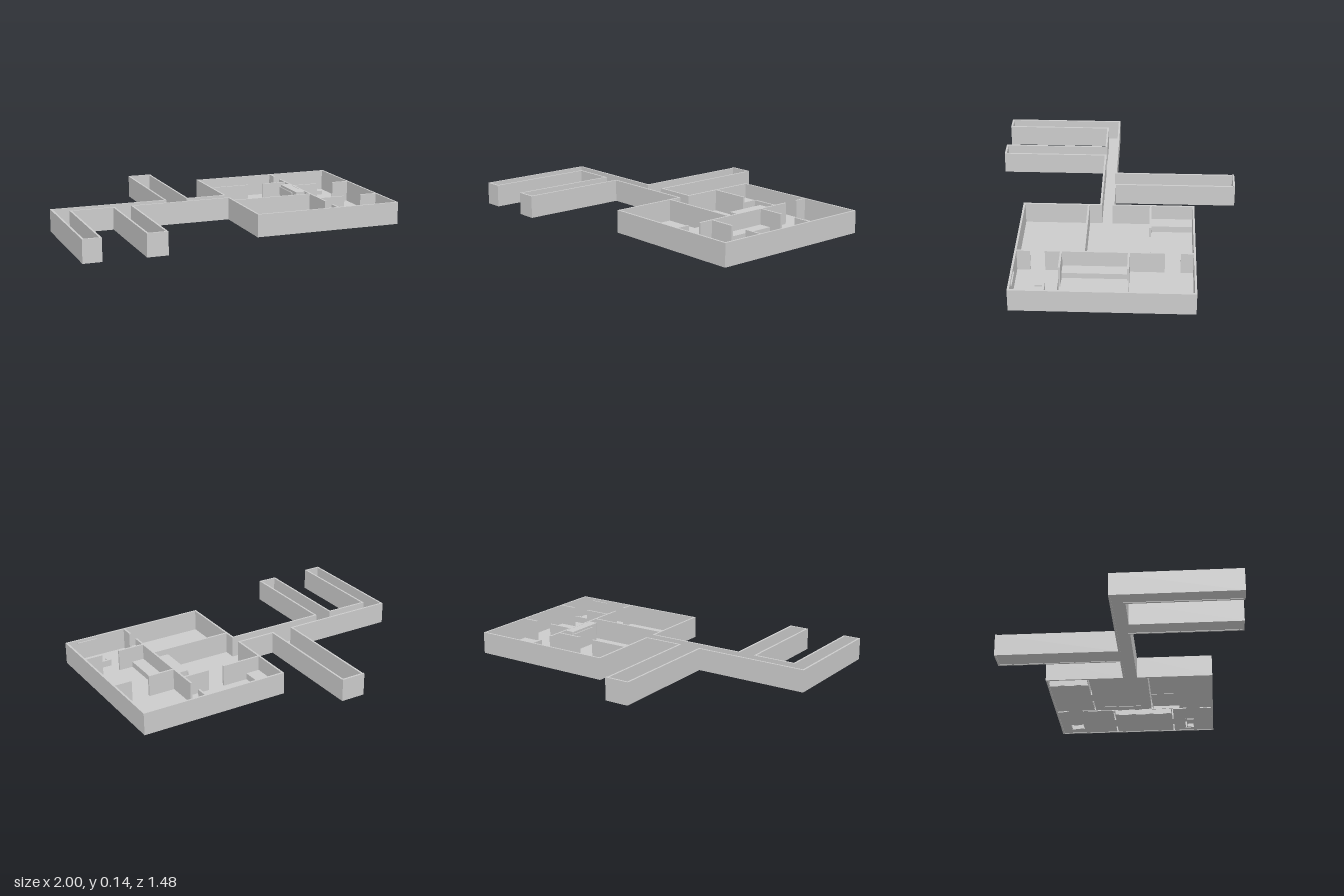
import * as THREE from 'three';

const H = 0.135, T = 0.012, FLOOR = 0.006;

export function createModel() {
  const group = new THREE.Group();
  const material = new THREE.MeshStandardMaterial({
    color: 0xcccccc, flatShading: true, side: THREE.DoubleSide,
  });

  const add = (name, geometry) => {
    const mesh = new THREE.Mesh(geometry, material);
    mesh.name = name;
    group.add(mesh);
    return mesh;
  };
  // Box given by its limits on each axis
  const block = (name, x0, x1, z0, z1, y0, y1) => {
    const mesh = add(name, new THREE.BoxGeometry(x1 - x0, y1 - y0, z1 - z0));
    mesh.position.set((x0 + x1) / 2, (y0 + y1) / 2, (z0 + z1) / 2);
    return mesh;
  };
  // Plan shape (x, z) raised to a height
  const raise = (shape, height) =>
    new THREE.ExtrudeGeometry(shape, { depth: height, bevelEnabled: false, curveSegments: 4 })
      .rotateX(-Math.PI / 2);
  const toPlan = (points) => points.map(([x, z]) => new THREE.Vector2(x, -z));

  // Outline of the house, corridor and its three arms
  const outline = [
    [-1, 0.001], [-0.297, 0.001], [-0.297, -0.74], [-0.145, -0.74], [-0.145, 0.001], [0.088, 0.001],
    [0.088, -0.482], [1, -0.482], [1, 0.553], [0.088, 0.553], [0.088, 0.088],
    [-0.516, 0.088], [-0.516, 0.74], [-0.64, 0.74], [-0.64, 0.088], [-0.89, 0.088],
    [-0.89, 0.74], [-1, 0.74],
  ];
  // Move every corner of the right-angled outline inwards by the wall thickness
  const inset = outline.map(([x, z], i) => {
    const [px, pz] = outline.at(i - 1);
    const [nx, nz] = outline[(i + 1) % outline.length];
    const dx = Math.sign(x - px) + Math.sign(nx - x);
    const dz = Math.sign(z - pz) + Math.sign(nz - z);
    return [x - dz * T, z + dx * T];
  });
  const innerPath = toPlan(inset);

  // The hole runs the opposite way round so that the inner faces look inwards
  const wallShape = new THREE.Shape(toPlan(outline));
  wallShape.holes.push(new THREE.Path([...innerPath].reverse()));
  add('outerWalls', raise(wallShape, H));
  block('armEndCoping', -0.297, -0.145, -0.74, -0.74 + T, H, H + 0.003);

  // Hollow box without a bottom; the floor is cut away below it
  const floorShape = new THREE.Shape(innerPath);
  const hollow = (name, x0, x1, z0, z1, height) => {
    const { geometry } = block(name, x0, x1, z0, z1, 0.001, height);
    const index = [...geometry.index.array];
    index.splice(18, 6);
    geometry.setIndex(index);
    const e = 0.002;
    floorShape.holes.push(new THREE.Path(toPlan([
      [x0 + e, z0 + e], [x0 + e, z1 - e], [x1 - e, z1 - e], [x1 - e, z0 + e],
    ])));
  };

  // Partitions running along x: [x0, x1, z]; gaps are doorways
  for (const [x0, x1, z] of [
    [0.1, 0.343, -0.219], [0.443, 0.6, -0.219], [0.1, 0.6, 0.156],
    [0.612, 0.773, -0.101], [0.883, 0.988, -0.101],
    [0.612, 0.773, 0.286], [0.883, 0.988, 0.286],
  ]) hollow('partition', x0, x1, z - T / 2, z + T / 2, H);

  // Partitions along z, dividing the house in two
  for (const [z0, z1] of [[-0.47, -0.397], [-0.307, 0.379], [0.464, 0.541]])
    hollow('dividingWall', 0.6, 0.612, z0, z1, H);

  // Chimney breast with rounded front corners
  const breast = new THREE.Shape();
  breast.moveTo(0.6, -0.088);
  breast.lineTo(0.6, 0.158);
  breast.lineTo(0.554, 0.158);
  breast.quadraticCurveTo(0.543, 0.158, 0.543, 0.148);
  breast.lineTo(0.543, -0.078);
  breast.quadraticCurveTo(0.543, -0.088, 0.554, -0.088);
  add('chimneyBreast', raise(breast, H - 0.001));
  block('wallScreen', 0.535, 0.543, -0.15, 0.03, 0.07, 0.12);

  // Low furniture
  hollow('kitchenCounter', 0.1, 0.186, -0.47, -0.225, 0.045);
  hollow('bed', 0.36, 0.6, 0.162, 0.338, 0.02);
  hollow('longCounter', 0.612, 0.688, -0.095, 0.28, 0.04);
  hollow('stool', 0.846, 0.92, -0.408, -0.323, 0.03);

  // Bench with a seat, a back and two arms
  hollow('benchSeat', 0.8, 0.93, 0.378, 0.423, 0.022);
  hollow('benchBack', 0.787, 0.943, 0.365, 0.378, 0.045);
  for (const x of [0.787, 0.93]) hollow('benchArm', x, x + 0.013, 0.378, 0.423, 0.032);

  // Narrow shelf on the inside of the front wall
  block('wallShelf', 0.8, 0.925, 0.533, 0.541, 0.112, 0.12);

  add('floor', raise(floorShape, FLOOR - 0.003)).position.y = 0.003;

  return group;
}
